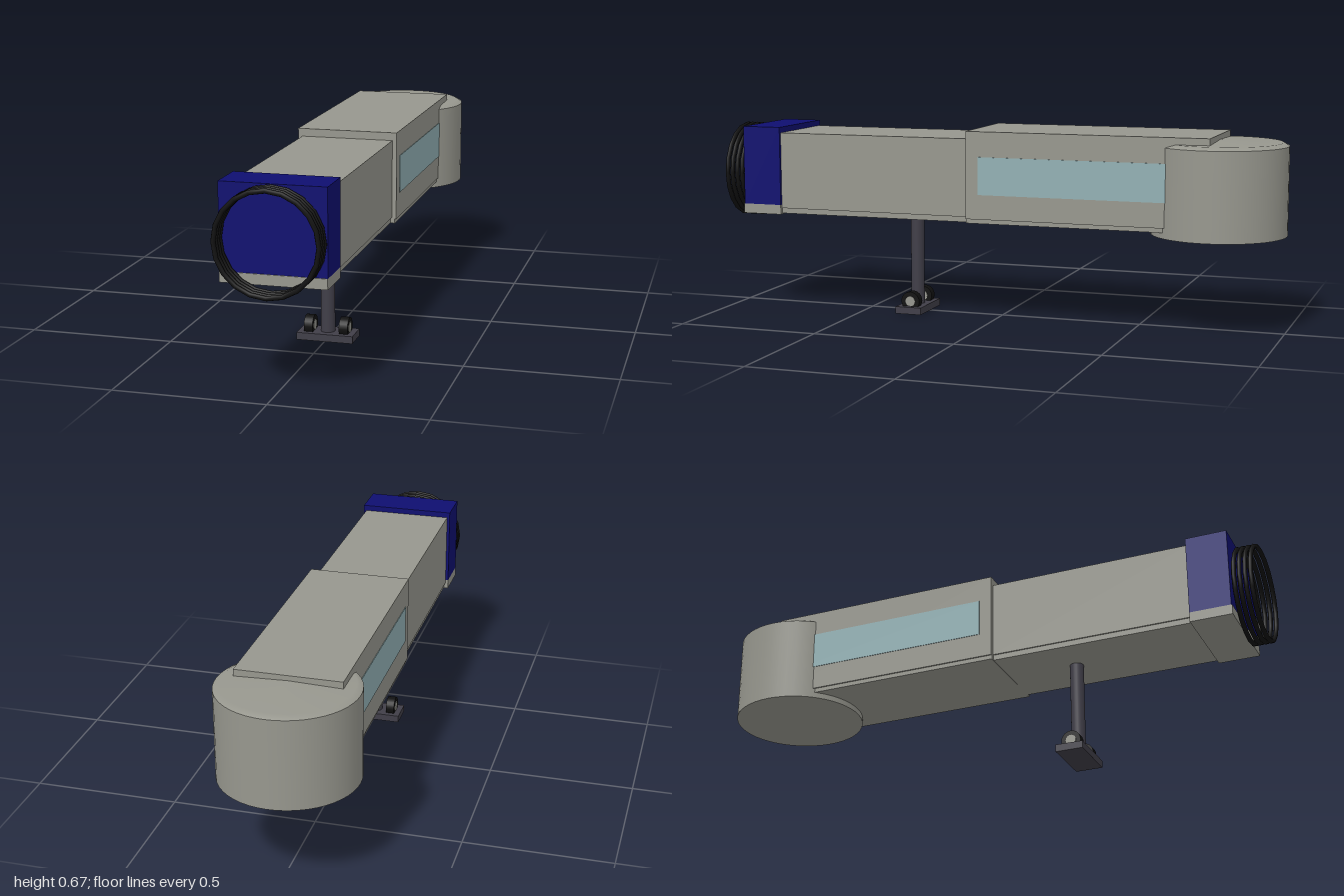
import * as THREE from 'three';

const mat = (name, color, side = THREE.FrontSide) => {
  const m = new THREE.MeshStandardMaterial({ color, side });
  m.name = name;
  return m;
};

export function createModel() {
  const model = new THREE.Group();
  model.name = 'boardingBridge';
  const grey = mat('panelGrey', 0x97978e);
  const blue = mat('canopyBlue', 0x0e0e70);
  const glass = mat('windowGlass', 0x92b0b4);
  const black = mat('rubberBlack', 0x101010);
  const steel = mat('darkSteel', 0x403e48);
  const hubGrey = mat('hubGrey', 0x97978f);

  const add = (name, geometry, material, x = 0, y = 0, z = 0) => {
    const mesh = new THREE.Mesh(geometry, material);
    mesh.name = name;
    mesh.position.set(x, y, z);
    model.add(mesh);
    return mesh;
  };
  // Box given by half width in x and its y and z ranges
  const slab = (name, material, hx, y0, y1, z0, z1, x = 0) =>
    add(name, new THREE.BoxGeometry(hx * 2, y1 - y0, z1 - z0), material, x, (y0 + y1) / 2, (z0 + z1) / 2);

  // Round rotunda with a shallow bevelled roof
  add('rotunda', new THREE.CylinderGeometry(0.23, 0.23, 0.302, 48), grey, 0, 0.481, -0.77);
  const roof = [[0.23, 0.632], [0.21, 0.643], [0, 0.65]].map(([x, y]) => new THREE.Vector2(x, y));
  add('rotundaRoof', new THREE.LatheGeometry(roof, 48), grey, 0, 0, -0.77);

  // Telescoping tunnels and their floors
  slab('outerTunnel', grey, 0.175, 0.365, 0.667, -0.77, 0.075);
  slab('outerTunnelFloor', grey, 0.17, 0.35, 0.365, -0.77, 0.075);
  slab('innerTunnel', grey, 0.16, 0.37, 0.64, 0.07, 0.79);
  slab('innerTunnelFloor', grey, 0.155, 0.351, 0.37, 0.07, 0.79);

  // Long window strip on each side
  for (const s of [1, -1]) slab('windowStrip', glass, 0.002, 0.45, 0.58, -0.72, 0.03, s * 0.175);

  // Cabin with blue hood over a grey floor
  slab('cabinHood', blue, 0.17, 0.382, 0.66, 0.78, 0.922);
  slab('cabinFloor', grey, 0.17, 0.348, 0.382, 0.78, 0.925);

  // Bellows rings at the cabin mouth
  for (let i = 0; i < 4; i++) {
    add('bellowsRing', new THREE.TorusGeometry(0.163, 0.008, 8, 20), black, 0, 0.491, 0.992 - i * 0.019);
  }

  // Support column, foot and wheels
  add('supportColumn', new THREE.CylinderGeometry(0.024, 0.024, 0.335, 24), steel, 0, 0.1875, 0.322);
  slab('supportFoot', steel, 0.097, 0, 0.025, 0.275, 0.37);
  for (const s of [1, -1]) {
    const tyre = add('tyre', new THREE.CylinderGeometry(0.034, 0.034, 0.03, 24), black, s * 0.061, 0.043, 0.322);
    const hub = add('wheelHub', new THREE.CylinderGeometry(0.018, 0.018, 0.033, 20), hubGrey, s * 0.061, 0.043, 0.322);
    tyre.rotation.z = hub.rotation.z = Math.PI / 2;
  }
  return model;
}
